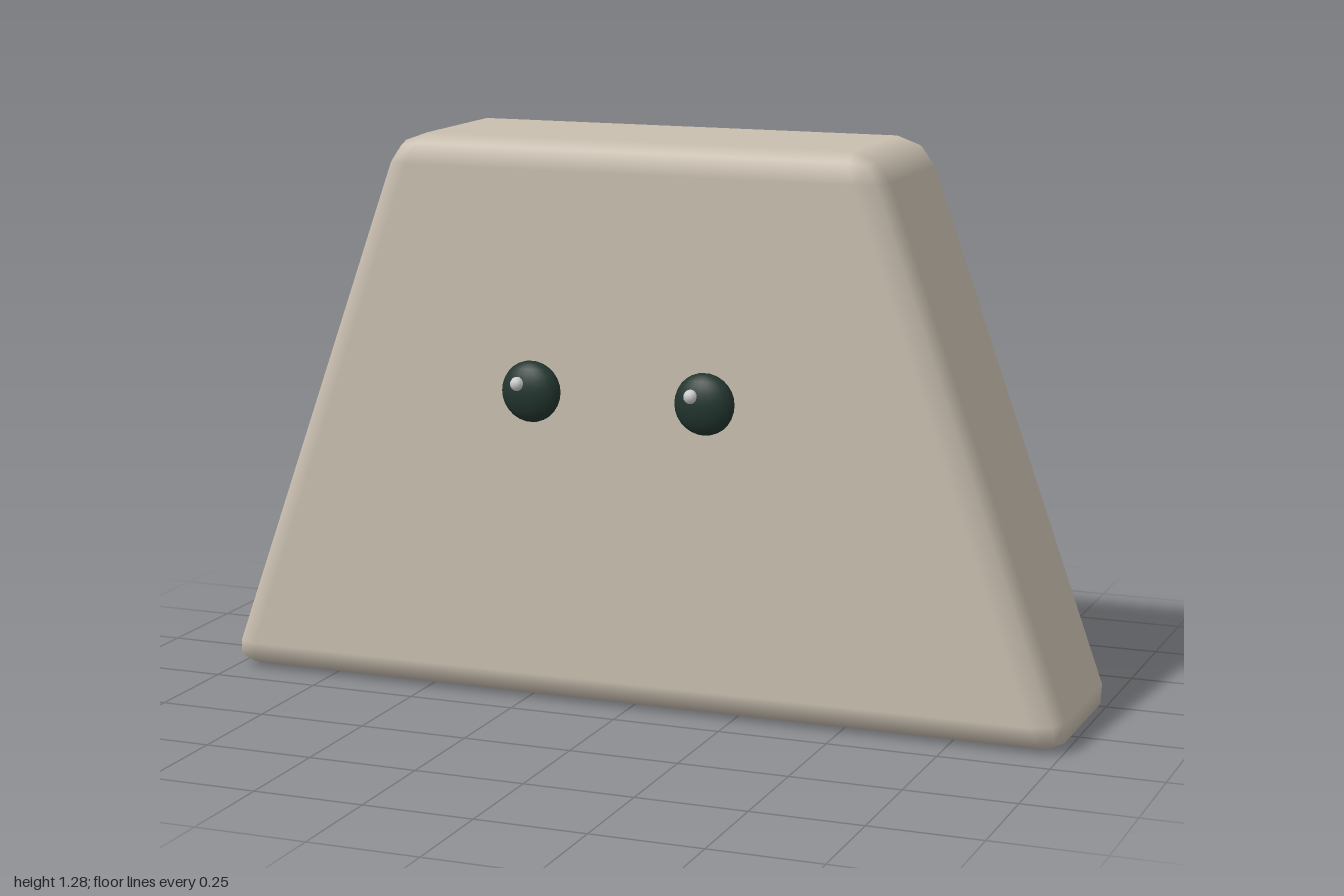
import * as THREE from 'three';

const HALF_WIDTH = 1.023, HEIGHT = 1.28, DEPTH = 0.455, RADIUS = 0.065, TAPER = 0.357;

// Block with bevelled, softly shaded edges whose sides lean inwards with height
function taperedBlock() {
  const geo = new THREE.BoxGeometry(2, 2, 2, 3, 3, 3);
  const pos = geo.attributes.position, nor = geo.attributes.normal;
  const core = new THREE.Vector3(HALF_WIDTH - RADIUS, HEIGHT / 2 - RADIUS, DEPTH / 2 - RADIUS);
  const v = new THREE.Vector3(), n = new THREE.Vector3();
  for (let i = 0; i < pos.count; i++) {
    v.fromBufferAttribute(pos, i);
    // outer grid lines carry the bevel, inner ones bound the flat faces
    n.set(Math.trunc(v.x * 1.001), Math.trunc(v.y * 1.001), Math.trunc(v.z * 1.001)).normalize();
    const side = Math.sign(v.x);
    v.set(side, Math.sign(v.y), Math.sign(v.z)).multiply(core).addScaledVector(n, RADIUS);
    v.y += HEIGHT / 2;
    v.x -= side * TAPER * v.y;
    n.y += TAPER * side * n.x;
    n.normalize();
    pos.setXYZ(i, v.x, v.y, v.z);
    nor.setXYZ(i, n.x, n.y, n.z);
  }
  return geo;
}

export function createModel() {
  const model = new THREE.Group();
  const stone = new THREE.MeshStandardMaterial({ color: 0xc9bfb0 });
  const dark = new THREE.MeshStandardMaterial({ color: 0x22352f });
  const white = new THREE.MeshStandardMaterial({ color: 0xffffff });

  const body = new THREE.Mesh(taperedBlock(), stone);
  body.name = 'body';
  body.position.z = -0.043;
  model.add(body);

  // Flattened eyes, each with a small glint on the same side
  for (const [name, x] of [['leftEye', 0.205], ['rightEye', -0.205]]) {
    const eye = new THREE.Group();
    eye.name = name;
    eye.position.set(x, 0.727, 0.224);
    const ball = new THREE.Mesh(new THREE.SphereGeometry(0.069, 20, 14), dark);
    ball.name = 'eyeball';
    ball.scale.z = 0.54;
    const glint = new THREE.Mesh(new THREE.SphereGeometry(0.016, 10, 8), white);
    glint.name = 'glint';
    glint.position.set(-0.02, 0.021, 0.033);
    eye.add(ball, glint);
    model.add(eye);
  }
  return model;
}
